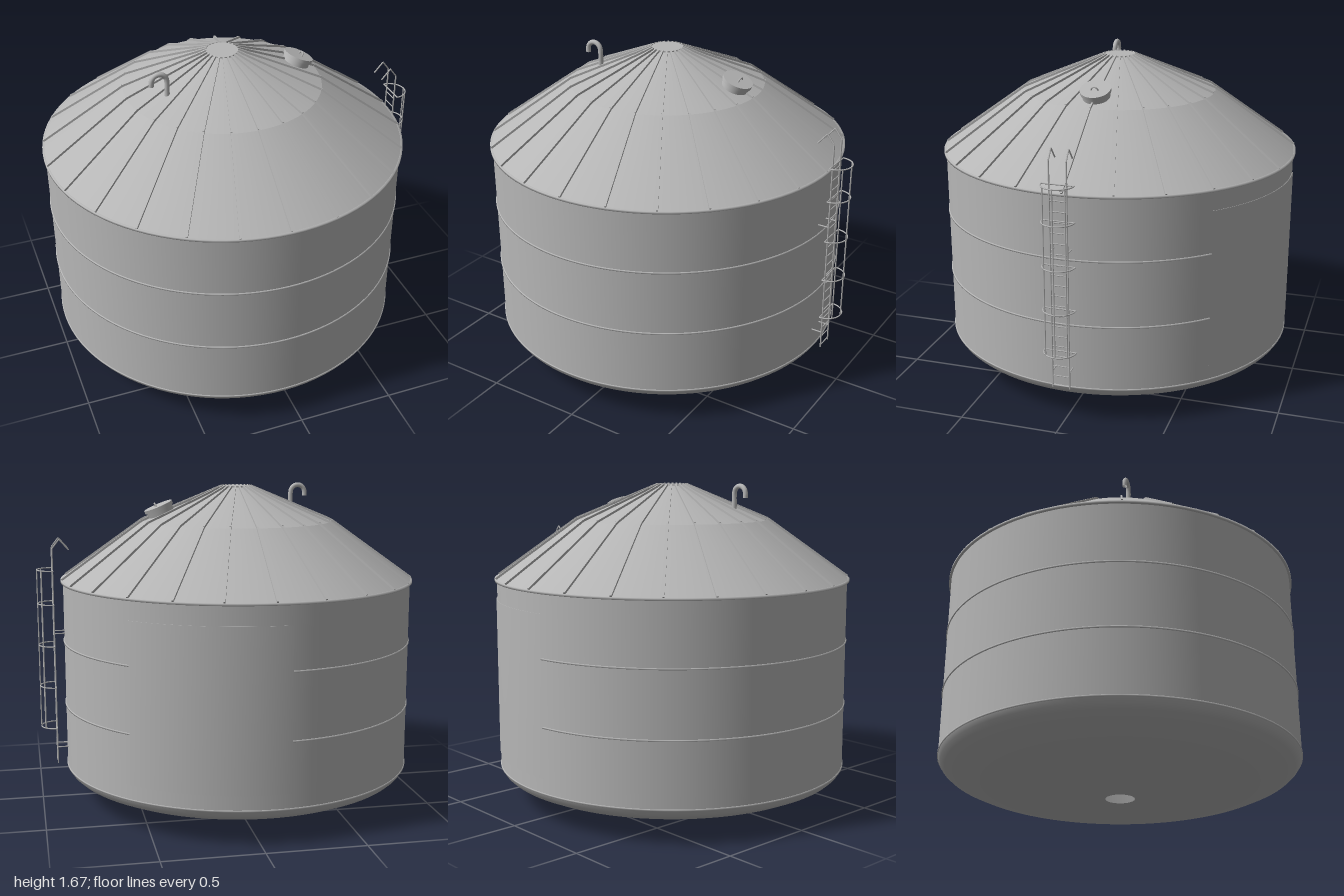
import * as THREE from 'three';

const V = (x, y, z) => new THREE.Vector3(x, y, z);
const DEG = Math.PI / 180;

export function createModel() {
  const model = new THREE.Group();
  model.name = 'storageTank';
  const grey = new THREE.MeshStandardMaterial({ color: 0xb6b6b6, side: THREE.DoubleSide });
  grey.name = 'galvanised grey';

  function add(parent, name, geometry) {
    const mesh = new THREE.Mesh(geometry, grey);
    mesh.name = name;
    parent.add(mesh);
    return mesh;
  }
  function group(parent, name) {
    const g = new THREE.Group();
    g.name = name;
    parent.add(g);
    return g;
  }
  // Lathe from [radius, height] pairs, optionally covering only part of the turn
  const lathe = (pts, start = 0, sweep = 360) => new THREE.LatheGeometry(
    pts.map(([r, y]) => new THREE.Vector2(r, y)), 96, start * DEG, sweep * DEG);
  // Round bar between two points
  function bar(parent, name, a, b, r = 0.0035) {
    const mesh = add(parent, name, new THREE.CylinderGeometry(r, r, a.distanceTo(b), 6));
    mesh.position.copy(a).add(b).multiplyScalar(0.5);
    mesh.quaternion.setFromUnitVectors(V(0, 1, 0), b.clone().sub(a).normalize());
    return mesh;
  }

  const tank = group(model, 'tank');
  tank.position.x = -0.063;
  const R = 0.924;

  // Shell and dished floor with a central drain opening
  add(tank, 'wall', lathe([[R, 0.18], [R, 1.175]]));
  add(tank, 'dishedFloor', lathe([
    [0.075, 0.002], [0.25, 0.01], [0.5, 0.036], [0.7, 0.07], [0.83, 0.107],
    [0.89, 0.135], [0.912, 0.155], [R, 0.18]]));

  // Hoops round the shell; the middle two stop at the curved side panel
  const hoop = (name, y, r, h, start, sweep) => add(tank, name, lathe(
    [[R - 0.002, y - h], [r, y - h], [r, y + h], [R - 0.002, y + h]], start, sweep));
  hoop('baseHoop', 0.183, 0.928, 0.004);
  hoop('eaveRing', 1.172, 0.936, 0.006);
  for (const y of [0.516, 0.852]) hoop('seamHoop', y, 0.929, 0.004, 185, 310);
  add(tank, 'sidePanel', lathe([[R, 0.26], [0.929, 0.26], [0.929, 1.07], [R, 1.07]], 135, 50));

  // Two-pitch roof
  const eave = [0.93, 1.175], knee = [0.505, 1.478], crown = [0.078, 1.655];
  add(tank, 'lowerRoof', lathe([eave, knee]));
  add(tank, 'upperRoof', lathe([knee, crown]));
  const cap = add(tank, 'crownPlate', new THREE.CylinderGeometry(0.08, 0.08, 0.008, 48));
  cap.position.y = 1.657;

  // Standing seams on the roof
  const ribs = group(tank, 'roofRibs');
  for (let i = 0; i < 24; i++) {
    const rib = group(ribs, 'roofRib');
    rib.rotation.y = i * 15 * DEG;
    for (const [a, b] of [[eave, knee], [knee, crown]]) {
      const dx = b[0] - a[0], dy = b[1] - a[1];
      const seam = add(rib, 'ribLength', new THREE.BoxGeometry(Math.hypot(dx, dy), 0.016, 0.009));
      seam.position.set((a[0] + b[0]) / 2, (a[1] + b[1]) / 2 + 0.003, 0);
      seam.rotation.z = Math.atan2(-dy, -dx);
    }
  }

  // Round roof hatch, tilted with the roof
  const hatch = group(model, 'roofHatch');
  hatch.position.set(0.337, 1.513, 0);
  hatch.rotation.z = -Math.atan2(0.177, 0.427);
  add(hatch, 'hatchNeck', new THREE.CylinderGeometry(0.07, 0.07, 0.06, 40)).position.y = 0.01;
  add(hatch, 'hatchLid', new THREE.CylinderGeometry(0.078, 0.078, 0.018, 40)).position.y = 0.043;
  const handle = add(hatch, 'hatchHandle', new THREE.TorusGeometry(0.018, 0.004, 6, 16, Math.PI));
  handle.position.set(0.012, 0.051, 0);
  handle.rotation.y = Math.PI / 2;

  // Gooseneck vent
  const vent = [V(-0.395, 1.5, 0.13), V(-0.395, 1.56, 0.13)];
  for (let i = 0; i <= 6; i++) {
    const a = i * 30 * DEG;
    vent.push(V(-0.434 + 0.039 * Math.cos(a), 1.616 + 0.039 * Math.sin(a), 0.13));
  }
  vent.push(V(-0.473, 1.597, 0.13));
  add(model, 'ventPipe', new THREE.TubeGeometry(new THREE.CatmullRomCurve3(vent), 40, 0.013, 12));

  // Ladder rails with hooked tops and wall brackets
  const ladder = group(model, 'ladder');
  const LX = 0.915;
  for (const z of [-0.043, 0.043]) {
    const path = [V(LX, 0.2, z), V(LX, 1.35, z), V(0.878, 1.398, z), V(0.83, 1.342, z)];
    for (let i = 0; i < 3; i++) bar(ladder, 'ladderRail', path[i], path[i + 1], 0.004);
    for (const y of [0.29, 0.62, 0.905, 1.165]) {
      if (y === 0.29 || y === 0.905) bar(ladder, 'wallBracket', V(0.85, y, z), V(LX, y, z));
    }
  }
  for (let i = 0; i < 20; i++) {
    const y = 0.212 + i * 0.0525;
    bar(ladder, 'rung', V(LX, y, -0.043), V(LX, y, 0.043), 0.003);
  }

  // Safety cage: half hoops and upright bars
  const cage = group(model, 'ladderCage');
  for (const y of [0.4, 0.62, 0.84, 1.06, 1.237]) {
    const half = add(cage, 'cageHoop', new THREE.TorusGeometry(0.08, 0.0035, 6, 24, Math.PI));
    half.position.set(LX, y, 0);
    half.rotation.set(Math.PI / 2, 0, -Math.PI / 2);
    bar(cage, 'cageCrossbar', V(LX, y, -0.08), V(LX, y, 0.08));
  }
  for (const z of [-0.055, 0, 0.055]) {
    const x = LX + Math.sqrt(0.08 ** 2 - z * z);
    bar(cage, 'cageUpright', V(x, 0.4, z), V(x, 1.24, z));
  }
  return model;
}
